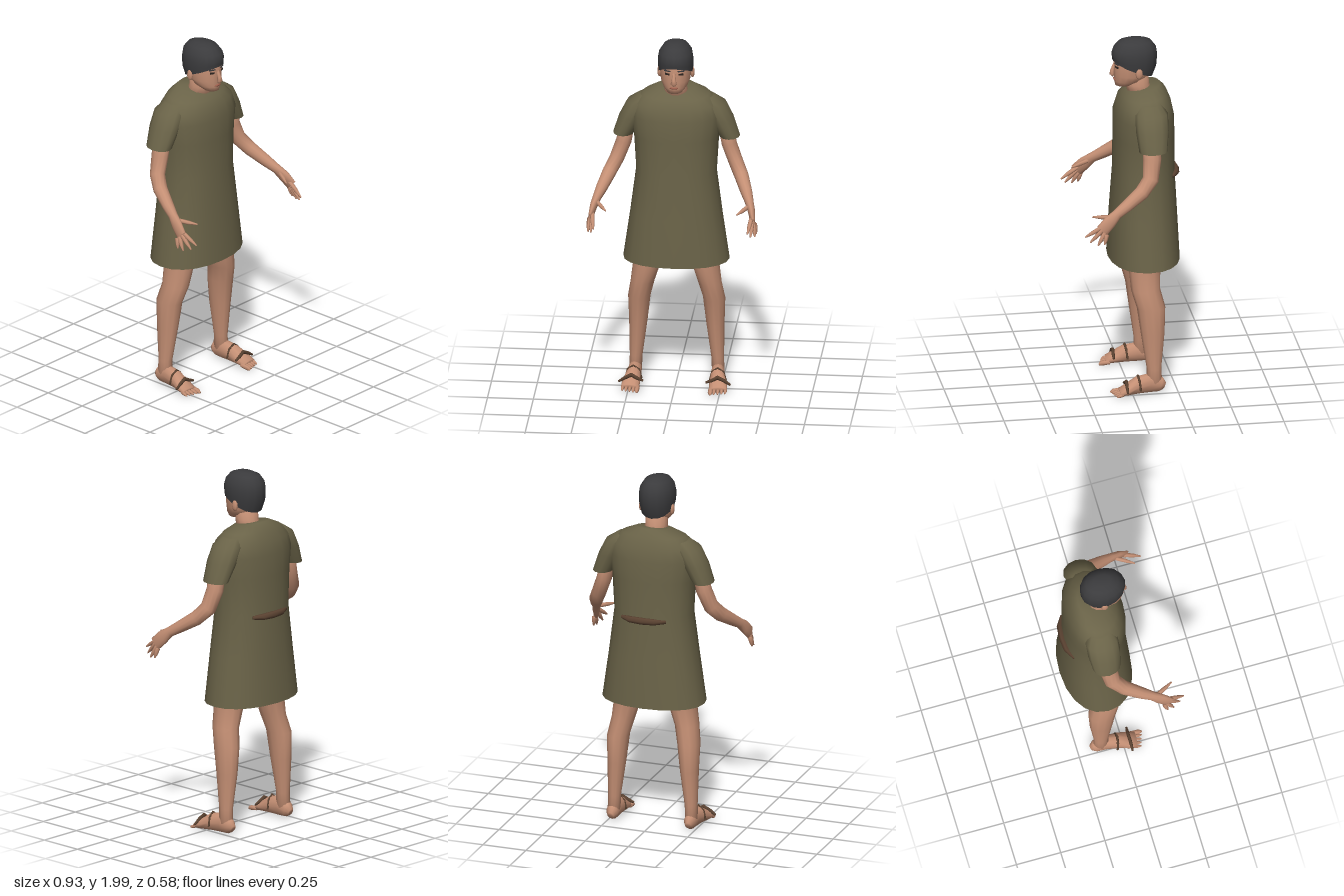
import * as THREE from 'three';

const mat = (name, color, side = THREE.FrontSide) => {
  const m = new THREE.MeshStandardMaterial({ color, side });
  m.name = name;
  return m;
};

// Joins cross-section rings into one smooth surface; ends may be closed.
function skin(rings, capStart = true, capEnd = true) {
  const n = rings[0].length, pos = [], idx = [];
  rings.forEach(r => r.forEach(p => pos.push(p.x, p.y, p.z)));
  for (let i = 0; i < rings.length - 1; i++) {
    for (let j = 0; j < n; j++) {
      const a = i * n + j, b = i * n + (j + 1) % n;
      idx.push(a, b, a + n, b, b + n, a + n);
    }
  }
  const cap = (i, flip) => {
    const c = new THREE.Vector3();
    rings[i].forEach(p => c.addScaledVector(p, 1 / n));
    const k = pos.length / 3;
    pos.push(c.x, c.y, c.z);
    for (let j = 0; j < n; j++) {
      const a = i * n + j, b = i * n + (j + 1) % n;
      if (flip) idx.push(k, b, a); else idx.push(k, a, b);
    }
  };
  if (capStart) cap(0, true);
  if (capEnd) cap(rings.length - 1, false);
  const g = new THREE.BufferGeometry();
  g.setAttribute('position', new THREE.Float32BufferAttribute(pos, 3));
  g.setIndex(idx);
  g.computeVertexNormals();
  return g;
}

// Level rings listed from top to bottom: [y, centreX, radiusX, centreZ, radiusZ, tilt]
function stack(rows, sides = 14, power = 2, capStart = true, capEnd = true) {
  const sq = v => Math.sign(v) * Math.abs(v) ** (2 / power);
  return skin(rows.map(([y, cx, rx, cz, rz, tilt = 0]) =>
    Array.from({ length: sides }, (_, j) => {
      const t = j / sides * Math.PI * 2, s = Math.sin(t);
      return new THREE.Vector3(cx + rx * sq(Math.cos(t)), y + tilt * s, cz + rz * sq(s));
    })), capStart, capEnd);
}

// Rings square to a path: [x, y, z, width radius along ref, other radius]
function sweep(rows, sides = 10, ref = new THREE.Vector3(1, 0, 0)) {
  const pts = rows.map(r => new THREE.Vector3(r[0], r[1], r[2]));
  return skin(rows.map((r, i) => {
    const t = pts[Math.min(i + 1, pts.length - 1)].clone().sub(pts[Math.max(i - 1, 0)]).normalize();
    const B = t.clone().cross(ref).normalize(), A = B.clone().cross(t);
    return Array.from({ length: sides }, (_, j) => {
      const u = j / sides * Math.PI * 2;
      return pts[i].clone().addScaledVector(A, r[3] * Math.cos(u)).addScaledVector(B, r[4] * Math.sin(u));
    });
  }));
}

// Reflected copy across x = 0 with its faces turned back outward
function mirrored(geo) {
  const g = geo.clone().scale(-1, 1, 1);
  g.index.array.reverse();
  g.computeVertexNormals();
  return g;
}

export function createModel() {
  const model = new THREE.Group();
  model.name = 'manInTunic';
  const cloth = mat('oliveCloth', 0x6a6348, THREE.DoubleSide);
  const flesh = mat('skin', 0xc48f74);
  const hairMat = mat('blackHair', 0x3b3b3d, THREE.DoubleSide);
  const leather = mat('brownLeather', 0x5a4231);
  const dark = mat('darkEye', 0x2c2420);
  const lipMat = mat('lipRed', 0xa0604e);

  const add = (name, geo, material) => {
    const m = new THREE.Mesh(geo, material);
    m.name = name;
    model.add(m);
    return m;
  };
  const pair = (name, geo, material) => {
    add(name + 'Left', geo, material);
    add(name + 'Right', mirrored(geo), material);
  };

  // Tunic body, open at the hem
  add('tunic', stack([
    [1.725, 0, 0.10, -0.1, 0.085, -0.015],
    [1.69, 0, 0.18, -0.1, 0.12, -0.012],
    [1.64, 0, 0.235, -0.1, 0.145],
    [1.57, 0, 0.25, -0.097, 0.163],
    [1.45, 0, 0.232, -0.097, 0.165],
    [1.25, 0, 0.22, -0.097, 0.167],
    [1.0, 0, 0.252, -0.095, 0.182],
    [0.735, 0, 0.29, -0.095, 0.195],
  ], 20, 2.2, true, false), cloth);
  pair('sleeve', stack([
    [1.675, 0.16, 0.05, -0.11, 0.06],
    [1.635, 0.2, 0.07, -0.11, 0.09],
    [1.55, 0.242, 0.071, -0.108, 0.09],
    [1.447, 0.289, 0.057, -0.106, 0.077],
  ], 12, 2, true, false), cloth);

  // Belt showing across the back
  add('belt', sweep([
    [-0.12, 1.235, -0.24, 0.008, 0.01],
    [-0.06, 1.235, -0.263, 0.02, 0.018],
    [0.01, 1.235, -0.268, 0.022, 0.02],
    [0.08, 1.235, -0.262, 0.02, 0.018],
    [0.135, 1.235, -0.238, 0.008, 0.01],
  ], 6, new THREE.Vector3(0, 0, 1)), leather);

  // Head and neck
  add('neck', stack([
    [1.81, 0, 0.06, -0.06, 0.065],
    [1.74, 0, 0.06, -0.062, 0.065],
    [1.67, 0, 0.075, -0.09, 0.075],
  ]), flesh);
  add('head', stack([
    [1.97, 0, 0.055, -0.045, 0.06],
    [1.92, 0, 0.085, -0.042, 0.1],
    [1.86, 0, 0.086, -0.04, 0.108],
    [1.80, 0, 0.081, -0.035, 0.1],
    [1.765, 0, 0.066, -0.015, 0.079],
    [1.737, 0, 0.04, 0.012, 0.046],
  ], 16), flesh);
  add('nose', sweep([
    [0, 1.86, 0.062, 0.008, 0.008],
    [0, 1.82, 0.074, 0.012, 0.012],
    [0, 1.802, 0.077, 0.017, 0.013],
    [0, 1.79, 0.07, 0.01, 0.007],
  ], 8), flesh);
  pair('ear', new THREE.SphereGeometry(1, 8, 6).scale(0.012, 0.032, 0.02).translate(0.09, 1.825, -0.06), flesh);
  pair('eye', new THREE.BoxGeometry(0.026, 0.01, 0.008).rotateY(0.4).translate(0.037, 1.852, 0.055), dark);
  pair('eyebrow', new THREE.BoxGeometry(0.036, 0.006, 0.008).rotateY(0.4).translate(0.037, 1.87, 0.055), hairMat);
  add('lips', new THREE.SphereGeometry(1, 10, 6).scale(0.024, 0.007, 0.008).translate(0, 1.772, 0.061), lipMat);

  // Short hair, lower at the nape than at the brow
  add('hair', stack([
    [2.0, 0, 0.035, -0.05, 0.05],
    [1.985, 0, 0.067, -0.05, 0.09],
    [1.95, 0, 0.09, -0.048, 0.118],
    [1.912, 0, 0.097, -0.047, 0.126, 0.008],
    [1.872, 0, 0.097, -0.047, 0.122, 0.026],
    [1.836, 0, 0.092, -0.036, 0.11, 0.05],
  ], 16, 2.1, true, false), hairMat);

  // Arms bending forward into the palms
  pair('arm', sweep([
    [0.27, 1.5, -0.1, 0.042, 0.05],
    [0.287, 1.4, -0.1, 0.042, 0.05],
    [0.325, 1.3, -0.085, 0.04, 0.046],
    [0.36, 1.24, -0.03, 0.039, 0.041],
    [0.395, 1.18, 0.06, 0.032, 0.033],
    [0.415, 1.145, 0.115, 0.024, 0.028],
    [0.43, 1.11, 0.155, 0.02, 0.038],
    [0.442, 1.065, 0.2, 0.013, 0.038],
  ], 12), flesh);
  const fingers = [
    [0.435, 1.085, 0.195, 0.42, 1.025, 0.29],
    [0.44, 1.07, 0.195, 0.435, 0.998, 0.265],
    [0.445, 1.055, 0.185, 0.455, 0.985, 0.225],
    [0.45, 1.045, 0.175, 0.46, 0.99, 0.19],
    [0.42, 1.13, 0.13, 0.357, 1.115, 0.24],
  ];
  fingers.forEach(([x, y, z, tx, ty, tz], i) => {
    const at = (k, r) => [x + (tx - x) * k, y + (ty - y) * k, z + (tz - z) * k, r, r];
    pair(i < 4 ? 'finger' + (i + 1) : 'thumb', sweep([at(0, 0.013), at(0.6, 0.011), at(1, 0.004)], 6), flesh);
  });

  // Legs and feet
  pair('leg', stack([
    [0.95, 0.14, 0.09, -0.085, 0.1],
    [0.735, 0.153, 0.079, -0.078, 0.088],
    [0.6, 0.183, 0.065, -0.08, 0.08],
    [0.5, 0.204, 0.061, -0.107, 0.078],
    [0.35, 0.21, 0.05, -0.115, 0.065],
    [0.15, 0.222, 0.035, -0.12, 0.04],
    [0.06, 0.225, 0.034, -0.12, 0.045],
  ], 12), flesh);
  pair('foot', sweep([
    [0.225, 0.045, -0.175, 0.018, 0.022],
    [0.225, 0.055, -0.155, 0.032, 0.042],
    [0.225, 0.068, -0.1, 0.036, 0.056],
    [0.23, 0.06, -0.03, 0.041, 0.049],
    [0.237, 0.04, 0.03, 0.05, 0.03],
    [0.24, 0.027, 0.07, 0.049, 0.018],
  ], 12), flesh);
  for (let i = 0; i < 5; i++) {
    const x = 0.2 + i * 0.02, tip = 0.116 - i * 0.006, r = i ? 0.009 : 0.013;
    pair('toe' + (i + 1), sweep([
      [x, 0.026, 0.055, r, r],
      [x, 0.02, tip - 0.015, r, r],
      [x, 0.014, tip, r * 0.4, r * 0.4],
    ], 6), flesh);
  }

  // Sandal straps over the instep and beside the ankle
  const zRef = new THREE.Vector3(0, 0, 1);
  pair('frontStrap', sweep([
    [0.305, 0.045, 0.036, 0.006, 0.006],
    [0.27, 0.068, 0.036, 0.009, 0.01],
    [0.235, 0.085, 0.034, 0.009, 0.012],
    [0.205, 0.068, 0.036, 0.009, 0.01],
    [0.17, 0.055, 0.038, 0.006, 0.006],
  ], 6, zRef), leather);
  pair('rearStrap', sweep([
    [0.275, 0.04, -0.04, 0.006, 0.005],
    [0.262, 0.092, -0.035, 0.007, 0.005],
    [0.23, 0.116, -0.03, 0.007, 0.005],
    [0.198, 0.092, -0.035, 0.007, 0.005],
    [0.185, 0.04, -0.04, 0.006, 0.005],
  ], 6, zRef), leather);

  return model;
}
